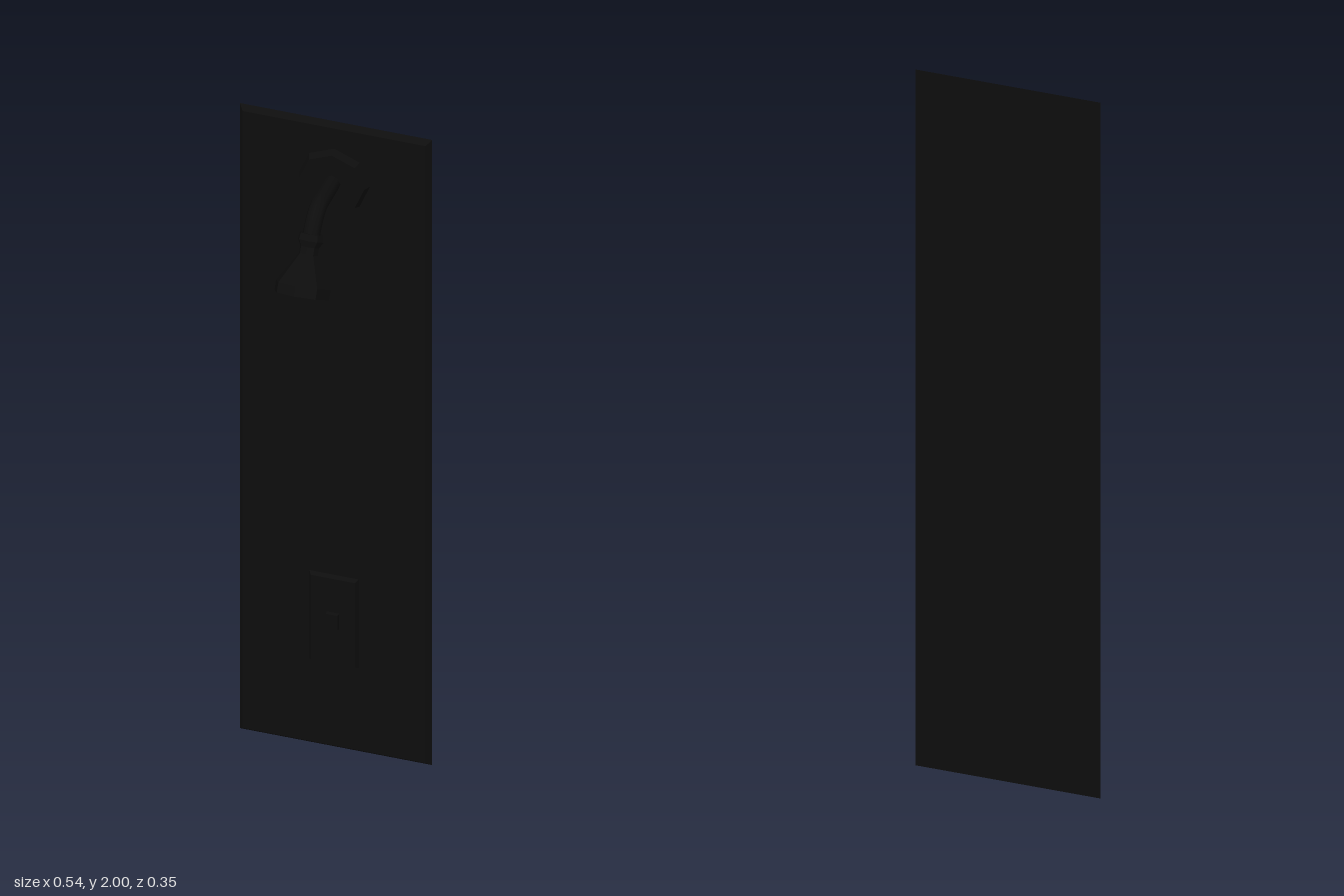
import * as THREE from 'three';

// Faceted normals
function flat(geometry) {
  const g = geometry.index ? geometry.toNonIndexed() : geometry;
  g.computeVertexNormals();
  return g;
}

// Box from z0 to z1 whose front face is inset by a bevel
function bevelledPlate(width, height, z0, z1, inset) {
  const g = new THREE.BoxGeometry(width, height, z1 - z0);
  const p = g.attributes.position;
  for (let i = 0; i < p.count; i++) {
    if (p.getZ(i) > 0) {
      p.setX(i, p.getX(i) - Math.sign(p.getX(i)) * inset);
      p.setY(i, p.getY(i) - Math.sign(p.getY(i)) * inset);
    }
  }
  g.translate(0, 0, (z0 + z1) / 2);
  return flat(g);
}

// Eight-sided turned part from [radius, height] pairs
function turned(points) {
  return flat(new THREE.LatheGeometry(points.map(([r, y]) => new THREE.Vector2(r, y)), 8));
}

export function createModel() {
  const group = new THREE.Group();
  const black = new THREE.MeshStandardMaterial({ color: 0x0d0d0d });
  black.name = 'black';

  function add(name, geometry, x = 0, y = 0, z = 0) {
    const mesh = new THREE.Mesh(geometry, black);
    mesh.name = name;
    mesh.position.set(x, y, z);
    group.add(mesh);
    return mesh;
  }

  // Wall panel
  add('wallPanel', bevelledPlate(0.535, 2, -0.173, -0.158, 0.013), 0, 1, 0);

  // Round flange behind the arm
  const flange = add('armFlange', turned([[0, 0], [0.1, 0], [0.09, 0.02], [0, 0.02]]), 0, 1.823, -0.159);
  flange.rotation.x = Math.PI / 2;

  // Bent arm
  const path = new THREE.CurvePath();
  const bendStart = new THREE.Vector3(0, 1.825, -0.05);
  path.add(new THREE.LineCurve3(new THREE.Vector3(0, 1.825, -0.142), bendStart));
  path.add(new THREE.QuadraticBezierCurve3(
    bendStart, new THREE.Vector3(0, 1.825, -0.003), new THREE.Vector3(0, 1.762, 0.033)));
  add('arm', new THREE.TubeGeometry(path, 16, 0.024, 8));

  // Shower head with its neck and collar, tilted forward
  const head = add('showerHead', turned([
    [0, 0], [0.076, 0], [0.076, 0.028], [0.026, 0.11],
    [0.026, 0.13], [0.036, 0.147], [0.033, 0.165], [0, 0.165],
  ]), 0, 1.628, 0.108);
  head.rotation.x = -Math.PI / 6;

  // Control plate and its small lever
  add('controlPlate', bevelledPlate(0.138, 0.284, -0.159, -0.147, 0.007), 0, 0.418, 0);
  add('controlLever', bevelledPlate(0.036, 0.05, -0.148, -0.138, 0.002), 0, 0.421, 0);

  return group;
}
